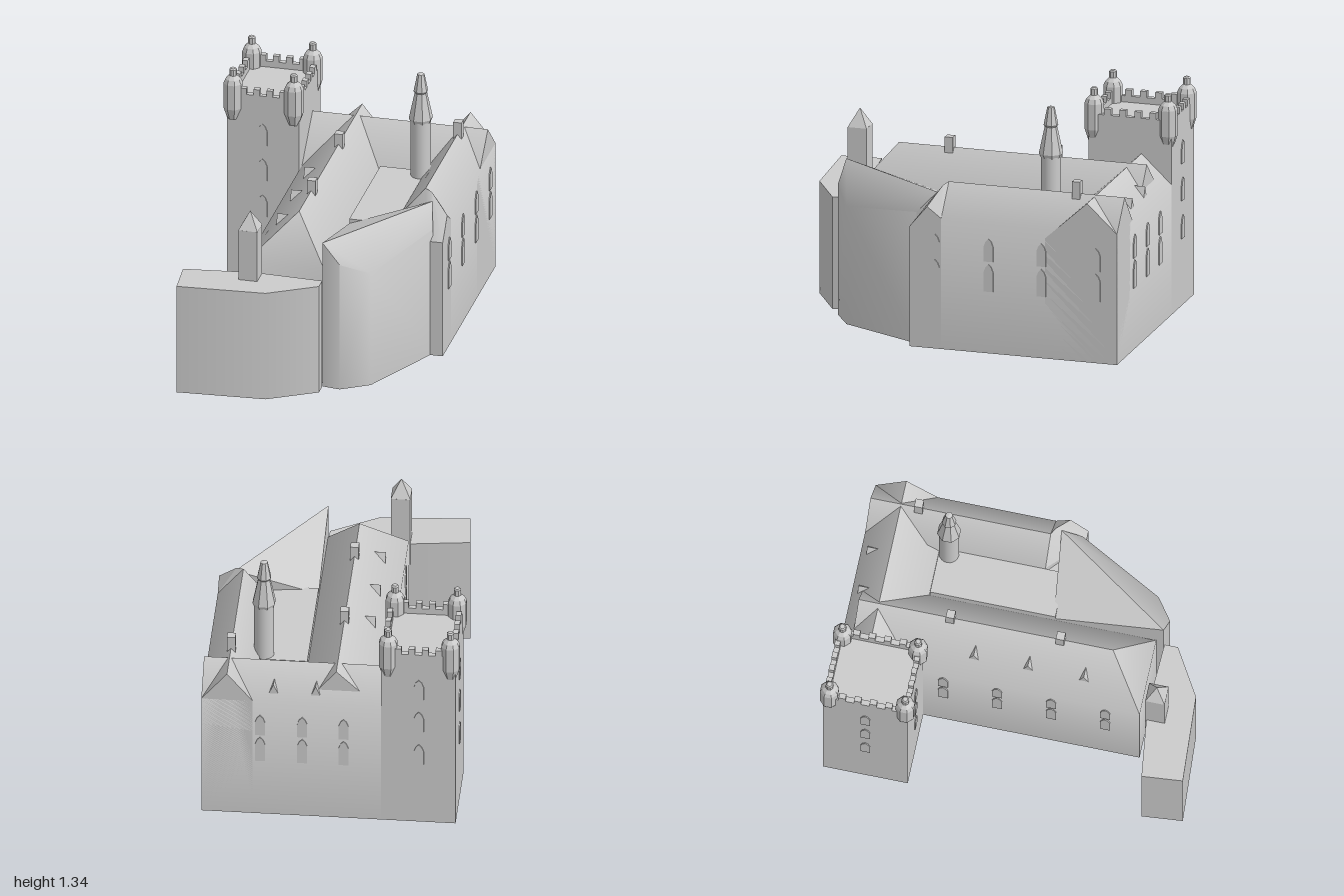
import * as THREE from 'three';
import { ConvexGeometry } from 'three/addons/geometries/ConvexGeometry.js';
import { toCreasedNormals } from 'three/addons/utils/BufferGeometryUtils.js';

const stone = new THREE.MeshStandardMaterial({ color: 0xcccccc });
const facetedStone = new THREE.MeshStandardMaterial({ color: 0xcccccc, flatShading: true });

export function createModel() {
  const model = new THREE.Group();

  function add(name, geometry, x = 0, y = 0, z = 0, material = stone) {
    const mesh = new THREE.Mesh(geometry, material);
    mesh.name = name;
    mesh.position.set(x, y, z);
    model.add(mesh);
    return mesh;
  }
  // Box given by its limits
  function block(name, x0, x1, y0, y1, z0, z1) {
    return add(name, new THREE.BoxGeometry(x1 - x0, y1 - y0, z1 - z0),
      (x0 + x1) / 2, (y0 + y1) / 2, (z0 + z1) / 2);
  }
  // Convex solid from its corners; soft eaves, sharp ridges
  function hull(name, points, crease = 0.85) {
    const corners = points.map(p => new THREE.Vector3(...p));
    return add(name, toCreasedNormals(new ConvexGeometry(corners), crease));
  }
  const ground = points => points.map(([x, , z]) => [x, 0, z]);

  // West wing: long gabled roof with a hipped front
  const westEaves = [[-0.28, 0.68, -0.92], [0.16, 0.68, -0.92], [-0.28, 0.68, 0.69], [0.16, 0.68, 0.69]];
  hull('westWing', [...ground(westEaves), ...westEaves, [-0.03, 0.92, -0.92], [-0.03, 0.92, 0.49]]);

  // Back wing, ridge running across
  const backEaves = [[-0.28, 0.74, -0.98], [0.7, 0.74, -0.98], [-0.28, 0.68, -0.57], [0.7, 0.68, -0.57]];
  hull('backWing', [...ground(backEaves), ...backEaves, [-0.28, 0.9, -0.81], [0.7, 0.9, -0.81]]);

  // East wing with a gable at the back
  const eastEaves = [[0.42, 0.74, -0.98], [0.7, 0.74, -0.98], [0.42, 0.74, 0.02], [0.7, 0.74, 0.02]];
  hull('eastWing', [...ground(eastEaves), ...eastEaves, [0.56, 0.91, -0.98], [0.56, 0.91, 0.02]]);
  // Hipped front end of the east wing
  const endEaves = [[0.42, 0.74, 0.02], [0.7, 0.74, 0.02], [0.63, 0.68, 0.2], [0.7, 0.68, 0.2]];
  hull('eastWingEnd', [...ground(endEaves), ...endEaves, [0.56, 0.91, 0.02], [0.6, 0.9, 0.04], [0.7, 0.8, 0.1]], 0.3);

  // Angled front bastion with a ridge from corner to corner
  const bastionEaves = [[0.16, 0.86, 0.73], [0.26, 0.745, 0.745], [0.41, 0.667, 0.65],
    [0.64, 0.745, 0.18], [0.42, 0.7, 0.12], [0.16, 0.7, 0.12]];
  hull('frontBastion', [...ground(bastionEaves), ...bastionEaves, [0.61, 0.86, 0.07]]);

  // Filled inner court and its flat roof
  block('courtBase', 0.1, 0.5, 0, 0.68, -0.7, 0.15);
  block('courtRoof', 0.16, 0.42, 0.6, 0.73, -0.565, 0.13);

  // Low gate block in front
  const gate = [[-0.61, 0.635, 0.77], [-0.22, 0.635, 0.72], [0.16, 0.635, 0.735],
    [0.16, 0.635, 0.81], [-0.1, 0.635, 0.965], [-0.59, 0.635, 0.995]];
  hull('gateBlock', [...ground(gate), ...gate]);
  // Square pillar with a pyramid cap
  block('gatePillar', -0.285, -0.18, 0.5, 0.93, 0.722, 0.83);
  const cap = new THREE.ConeGeometry(0.0757, 0.1, 4);
  cap.rotateY(Math.PI / 4);
  add('gatePillarCap', cap, -0.2325, 0.98, 0.776, facetedStone);

  // Great tower: body, parapet, battlements
  const T = { x0: -0.685, x1: -0.28, z0: -0.98, z1: -0.51, wall: 0.03 };
  block('towerBody', T.x0, T.x1, 0, 1.065, T.z0, T.z1);
  for (const x of [T.x0, T.x1 - T.wall]) block('towerParapet', x, x + T.wall, 1.06, 1.1, T.z0, T.z1);
  for (const z of [T.z0, T.z1 - T.wall]) block('towerParapet', T.x0, T.x1, 1.06, 1.1, z, z + T.wall);
  for (let i = 0; i < 4; i++) {
    const x = -0.593 + i * 0.0735, z = -0.875 + i * 0.086;
    for (const pz of [T.z0, T.z1 - T.wall]) block('merlon', x - 0.017, x + 0.017, 1.095, 1.135, pz, pz + T.wall);
    for (const px of [T.x0, T.x1 - T.wall]) block('merlon', px, px + T.wall, 1.095, 1.135, z - 0.019, z + 0.019);
  }

  // Octagonal lathed parts
  function octagon(name, profile, x, z) {
    const geometry = new THREE.LatheGeometry(profile.map(p => new THREE.Vector2(...p)), 8, Math.PI / 8);
    add(name, geometry, x, 0, z, facetedStone);
  }
  for (const x of [-0.655, -0.315]) for (const z of [-0.95, -0.53]) {
    octagon('cornerTurret', [[0, 0.98], [0.032, 0.945], [0.053, 1.01], [0.053, 1.155], [0.042, 1.18],
      [0.021, 1.2], [0.021, 1.235], [0.014, 1.242], [0, 1.242]], x, z);
  }

  // Slender stair turret with a spire
  add('stairTurret', new THREE.CylinderGeometry(0.055, 0.055, 0.5, 20), 0.4, 0.82, -0.51);
  octagon('spire', [[0, 1.05], [0.055, 1.05], [0.066, 1.075], [0.034, 1.225], [0.04, 1.235],
    [0.02, 1.335], [0, 1.34]], 0.4, -0.51);

  // Chimneys on the ridges
  for (const [x, z] of [[-0.03, -0.41], [-0.03, 0.2], [0.56, -0.71]]) {
    block('chimney', x - 0.023, x + 0.023, 0.82, 0.98, z - 0.023, z + 0.023);
  }

  // Small roof dormers, ridge running into the slope
  function dormer(x, z, turn) {
    const mesh = hull('dormer', [[-0.035, 0.75, 0], [0.035, 0.75, 0], [0, 0.83, 0],
      [-0.035, 0.75, -0.1], [0.035, 0.75, -0.1], [0, 0.83, -0.1]], 0.3);
    mesh.position.set(x, 0, z);
    mesh.rotation.y = turn;
  }
  for (const z of [-0.25, 0.05, 0.36]) dormer(-0.185, z, -Math.PI / 2);
  for (const x of [0.08, 0.31]) dormer(x, -0.945, Math.PI);

  // Pointed windows, slightly proud of the wall
  function pointedWindow(x, y, z, height, turn) {
    const w = 0.027, s = new THREE.Shape();
    s.moveTo(-w, 0);
    s.lineTo(w, 0);
    s.lineTo(w, height - 0.045);
    s.lineTo(0.016, height - 0.016);
    s.lineTo(0, height);
    s.lineTo(-0.016, height - 0.016);
    s.lineTo(-w, height - 0.045);
    const geometry = new THREE.ExtrudeGeometry(s, { depth: 0.016, bevelEnabled: false });
    geometry.translate(0, 0, -0.01);
    add('window', geometry, x, y, z).rotation.y = turn;
  }
  const rows = [[0.35, 0.155], [0.52, 0.13]];
  for (const [y, h] of rows) {
    for (const z of [0.055, -0.25, -0.55, -0.86]) pointedWindow(0.7, y, z, h, Math.PI / 2);
    for (const z of [-0.4, -0.1, 0.2, 0.5]) pointedWindow(-0.28, y, z, h, -Math.PI / 2);
    for (const x of [0.38, 0.15, -0.075]) pointedWindow(x, y, -0.98, h, Math.PI);
  }
  for (const y of [0.38, 0.595, 0.805]) {
    pointedWindow(-0.485, y, T.z1, 0.13, 0);
    pointedWindow(-0.485, y, T.z0, 0.13, Math.PI);
    pointedWindow(T.x0, y, -0.745, 0.13, -Math.PI / 2);
  }
  return model;
}
